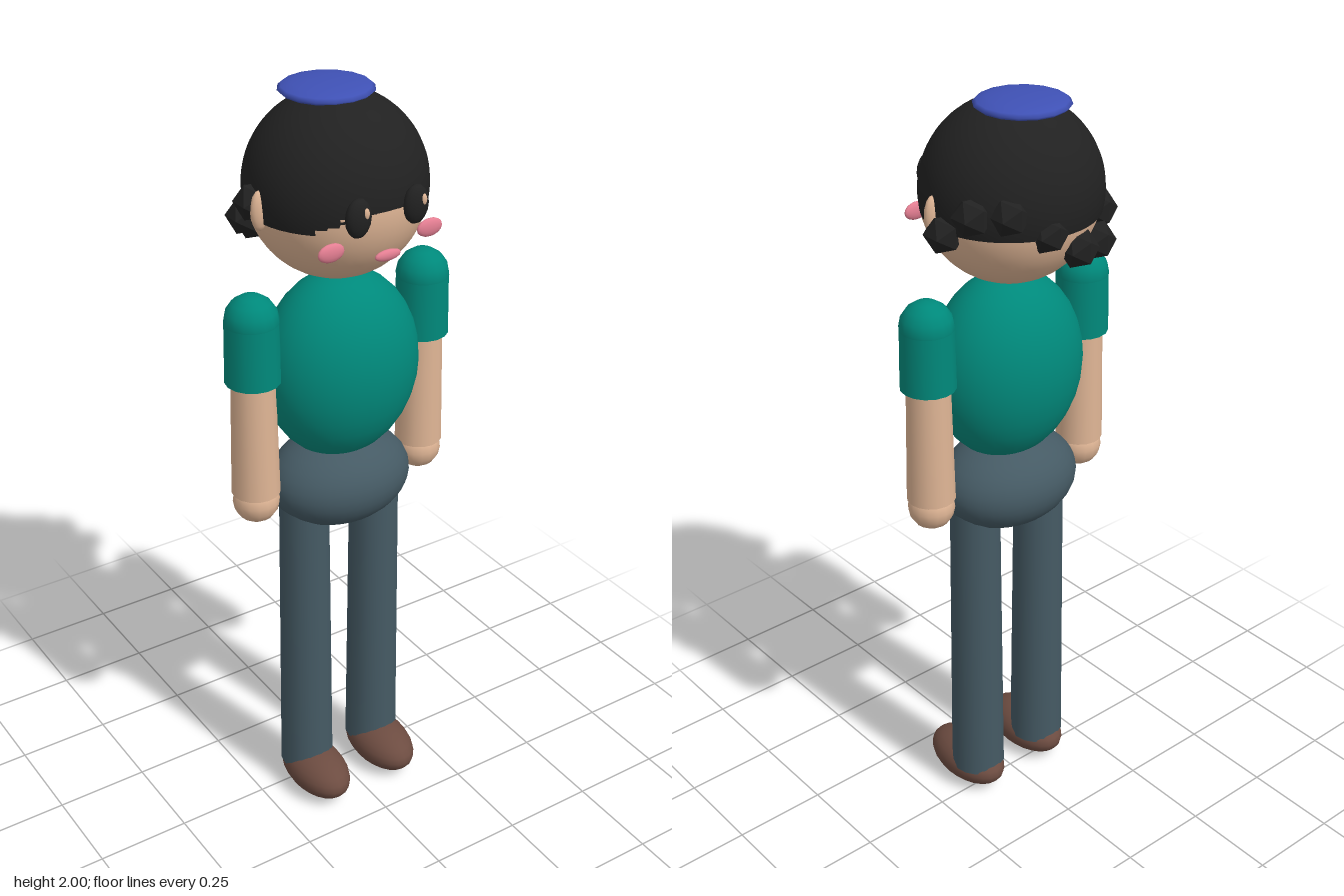
import * as THREE from 'three';

const mat = (name, color) => {
  const m = new THREE.MeshStandardMaterial({ color });
  m.name = name;
  return m;
};

export function createModel() {
  const root = new THREE.Group();
  root.name = 'standingFigure';

  const skin = mat('skin', 0xdfb595);
  const hair = mat('black hair', 0x212121);
  const shirt = mat('teal shirt', 0x00897b);
  const trousers = mat('slate trousers', 0x455a64);
  const shoe = mat('brown shoe', 0x6d4c41);
  const capBlue = mat('blue cap', 0x3f51b5);
  const pink = mat('pink', 0xe57f93);
  const curlMat = mat('black curls', 0x212121);
  curlMat.flatShading = true;

  const add = (name, geo, material, x, y, z) => {
    const m = new THREE.Mesh(geo, material);
    m.name = name;
    m.position.set(x, y, z);
    root.add(m);
    return m;
  };
  // Ellipsoid given by centre and three radii
  const ball = (name, material, [x, y, z], [rx, ry, rz], seg = 32) => {
    const m = add(name, new THREE.SphereGeometry(1, seg, Math.max(8, seg / 2)), material, x, y, z);
    m.scale.set(rx, ry, rz);
    return m;
  };
  // Tapered upright tube between two heights
  const limb = (name, material, x, z, y0, y1, r0, r1) =>
    add(name, new THREE.CylinderGeometry(r1, r0, y1 - y0, 16), material, x, (y0 + y1) / 2, z);

  // Body
  ball('torso', shirt, [0, 1.295, 0.015], [0.21, 0.25, 0.167]);
  ball('hips', trousers, [0, 0.97, 0.01], [0.195, 0.125, 0.153]);

  // Head, with the hair shell open below
  ball('head', skin, [0, 1.755, 0], [0.22, 0.22, 0.2134], 48);
  const shell = new THREE.SphereGeometry(1, 48, 24, 0, Math.PI * 2, 0, Math.PI * 0.57);
  const hairMesh = add('hair', shell, hair, 0, 1.763, -0.005);
  hairMesh.scale.set(0.225, 0.225, 0.218);
  hair.side = THREE.DoubleSide;

  // Flat cap on the crown
  ball('cap', capBlue, [0, 1.98, -0.043], [0.116, 0.02, 0.116], 16);

  // Curls in a wavy half ring round the back
  for (let i = 0; i < 8; i++) {
    const a = (Math.PI * i) / 7;
    add('curl', new THREE.IcosahedronGeometry(0.05, 0), curlMat,
      0.215 * Math.cos(a), 1.71 + 0.07 * Math.sin(i), -0.02 - 0.175 * Math.sin(a));
  }

  ball('mouth', pink, [0, 1.656, 0.215], [0.036, 0.014, 0.009], 16);

  for (const s of [1, -1]) {
    // Face
    ball('eye', hair, [s * 0.079, 1.762, 0.21], [0.034, 0.048, 0.02], 16);
    ball('eyeGlint', skin, [s * 0.079 + 0.012, 1.775, 0.225], [0.008, 0.014, 0.006], 12);
    ball('cheek', pink, [s * 0.137, 1.683, 0.187], [0.036, 0.023, 0.01], 16);
    ball('ear', skin, [s * 0.22, 1.745, 0.014], [0.024, 0.05, 0.016], 16);

    // Arm
    const ax = s * 0.249;
    ball('shoulder', shirt, [ax, 1.472, 0.012], [0.068, 0.068, 0.068], 16);
    limb('sleeve', shirt, ax, 0.012, 1.312, 1.472, 0.07, 0.067);
    limb('forearm', skin, ax, 0.012, 1.0, 1.33, 0.062, 0.055);
    ball('hand', skin, [ax, 0.975, 0.012], [0.06, 0.06, 0.06], 16);

    // Leg
    limb('leg', trousers, s * 0.108, 0.013, 0.075, 0.95, 0.073, 0.065);
    ball('shoe', shoe, [s * 0.108, 0.063, 0.058], [0.077, 0.063, 0.132], 24);
  }
  return root;
}
